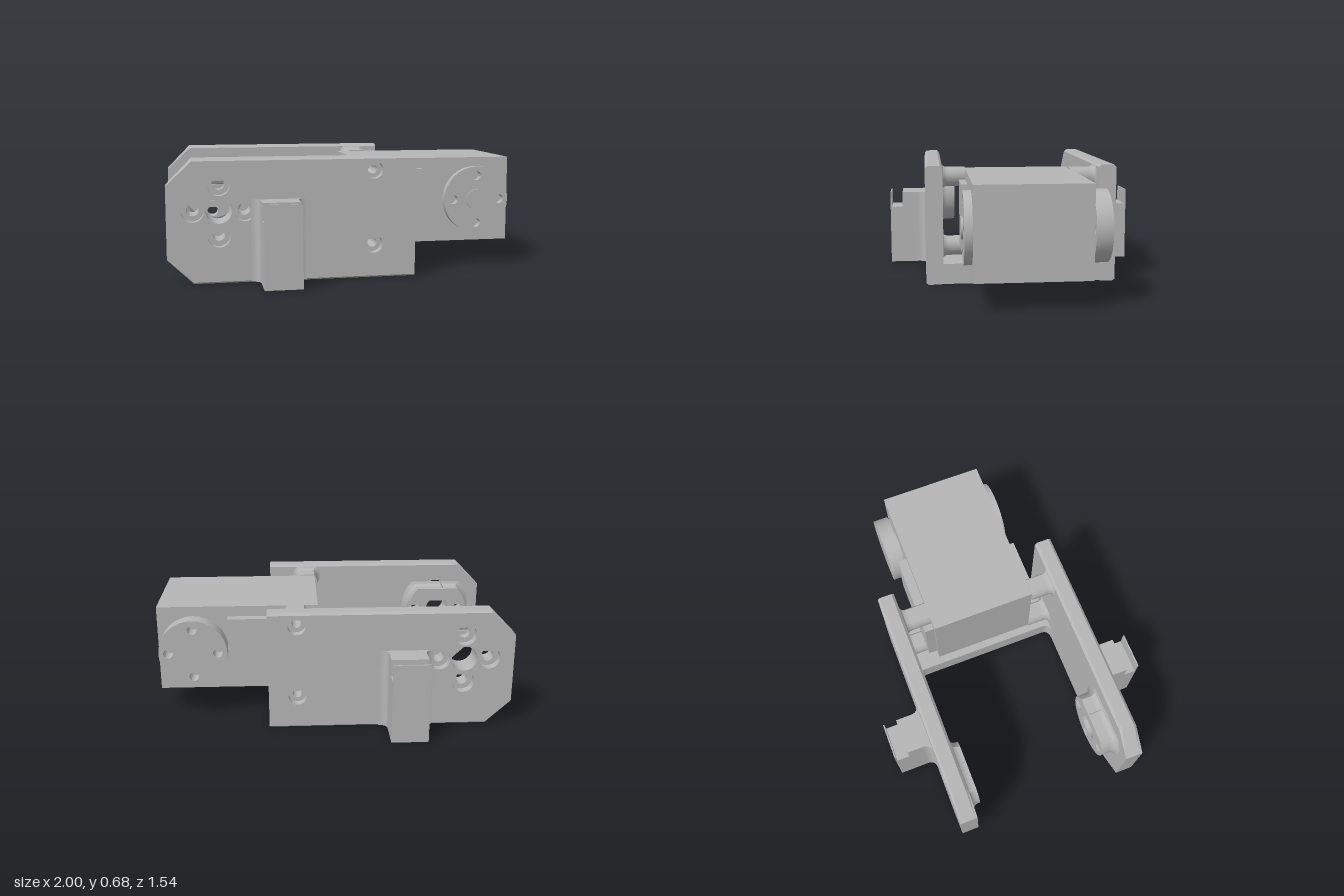
import * as THREE from 'three';
import { toCreasedNormals } from 'three/addons/utils/BufferGeometryUtils.js';

const grey = new THREE.MeshStandardMaterial({ color: 0xb6b6b6 });
grey.name = 'plain grey';

const BOSS = [-0.72, 0.4]; // pivot centre on the arms
const BOLTS = [[0.14, 0], [-0.14, 0], [0, 0.14], [0, -0.14]];

function add(parent, name, geometry) {
  const mesh = new THREE.Mesh(geometry, grey);
  mesh.name = name;
  parent.add(mesh);
  return mesh;
}

function box(parent, name, x0, x1, y0, y1, z0, z1) {
  const g = new THREE.BoxGeometry(x1 - x0, y1 - y0, Math.abs(z1 - z0));
  add(parent, name, g).position.set((x0 + x1) / 2, (y0 + y1) / 2, (z0 + z1) / 2);
}

// Round outline with a pointed 45 degree roof
function teardrop(x, y, r) {
  const s = new THREE.Shape();
  s.moveTo(x, y + r * Math.SQRT2);
  s.absarc(x, y, r, Math.PI * 0.75, Math.PI * 2.25, false);
  return s;
}

function circle(x, y, r) {
  return new THREE.Shape().absarc(x, y, r, 0, Math.PI * 2, false);
}

// Shape in the xy plane, extruded between two z values; rule may move each vertex
function layer(parent, name, shape, za, zb, rule, steps = 1) {
  const g = new THREE.ExtrudeGeometry(shape, { depth: Math.abs(zb - za), bevelEnabled: false, curveSegments: 16, steps });
  g.translate(0, 0, Math.min(za, zb));
  if (rule) {
    const p = g.attributes.position, v = new THREE.Vector3();
    for (let i = 0; i < p.count; i++) {
      rule(v.fromBufferAttribute(p, i));
      p.setXYZ(i, v.x, v.y, v.z);
    }
  }
  add(parent, name, toCreasedNormals(g, 0.5));
}

// Shape in the xz plane, extruded between two y values
function slab(parent, name, shape, y0, y1) {
  const g = new THREE.ExtrudeGeometry(shape, { depth: y1 - y0, bevelEnabled: false, curveSegments: 8 });
  g.rotateX(Math.PI / 2).translate(0, y1, 0);
  add(parent, name, toCreasedNormals(g, 0.5));
}

function armOutline() {
  return new THREE.Shape([[-0.86, 0], [0.37, 0], [0.37, 0.68], [-0.86, 0.68], [-1, 0.535], [-1, 0.14]]
    .map(([x, y]) => new THREE.Vector2(x, y)));
}

// Flared teardrop collar that blends a boss into the arm
function collar(parent, name, x, y, r, flare, zArm, zEnd) {
  const ring = teardrop(x, y, r);
  ring.holes.push(teardrop(x, y, r * 0.96));
  layer(parent, name, ring, zArm, zEnd, (v) => {
    const t = Math.abs((v.z - zEnd) / (zArm - zEnd));
    const k = 1 + (flare / r) * (1 - Math.sqrt(Math.max(0, 1 - t * t)));
    v.x = x + (v.x - x) * k;
    v.y = y + (v.y - y) * k;
  }, 5);
}

// One arm with pivot boss, standoffs and hooked post
function createArm(name, s, inner, outer, bossEnd, standX, standEnd, postEnd) {
  const arm = new THREE.Group();
  arm.name = name;
  const zi = s * inner, zo = s * outer;
  const [cx, cy] = BOSS;
  const stands = [[standX, 0.605], [standX, 0.19]];

  // Inner half has bolt holes, outer half has wider counterbores
  const through = armOutline();
  through.holes.push(teardrop(cx, cy, 0.072));
  for (const [x, y] of BOLTS) through.holes.push(teardrop(cx + x, cy + y, 0.034));
  for (const [x, y] of stands) through.holes.push(teardrop(x, y, 0.026));
  const bored = armOutline();
  bored.holes.push(circle(cx, cy, 0.072));
  for (const [x, y] of BOLTS) bored.holes.push(teardrop(cx + x, cy + y, 0.062));
  for (const [x, y] of stands) bored.holes.push(teardrop(x, y, 0.05));

  // Softened long edges on both faces
  const soften = (z) => (v) => {
    if (Math.abs(v.z - z) > 0.001) return;
    if (v.y > 0.679) v.y -= 0.014;
    if (v.y < 0.001) v.y += 0.01;
  };
  const mid = (zi + zo) / 2, e = s * 0.014;
  layer(arm, 'armInnerFace', through, zi, zi + e, soften(zi));
  layer(arm, 'armInnerPlate', through, zi + e, mid);
  layer(arm, 'armOuterPlate', bored, mid, zo - e);
  layer(arm, 'armOuterFace', bored, zo - e, zo, soften(zo));

  // Pivot boss
  const boss = teardrop(cx, cy, 0.185);
  boss.holes.push(teardrop(cx, cy, 0.072));
  for (const [x, y] of BOLTS) boss.holes.push(teardrop(cx + x, cy + y, 0.034));
  layer(arm, 'pivotBoss', boss, zi, s * bossEnd);
  collar(arm, 'pivotBossCollar', cx, cy, 0.185, 0.035, zi, zi - s * 0.04);

  // Standoffs that hold the motor
  for (const [x, y] of stands) {
    const stand = teardrop(x, y, 0.064);
    stand.holes.push(teardrop(x, y, 0.026));
    layer(arm, 'standoff', stand, zi, s * standEnd);
    collar(arm, 'standoffCollar', x, y, 0.064, 0.022, zi, zi - s * 0.035);
  }

  // Outer post with filleted root, notch and thin lip
  const r = 0.05, x0 = -0.5, x1 = -0.295;
  const post = (end) => {
    const p = new THREE.Shape();
    p.moveTo(x0 - r, zo - s * 0.01);
    p.lineTo(x0 - r, zo);
    p.quadraticCurveTo(x0, zo, x0, zo + s * r);
    p.lineTo(x0, s * end);
    p.lineTo(x1, s * end);
    p.lineTo(x1, zo + s * r);
    p.quadraticCurveTo(x1, zo, x1 + r, zo);
    p.lineTo(x1 + r, zo - s * 0.01);
    return p;
  };
  slab(arm, 'post', post(postEnd), 0.003, 0.36);
  slab(arm, 'postTop', post(0.69), 0.36, 0.455);
  box(arm, 'postLip', x0, x1, 0.36, 0.455, s * (postEnd - 0.008), s * postEnd);
  return arm;
}

// Round horn with four screw holes
function horn(parent, name, za, zb) {
  const disc = circle(0.795, 0.4, 0.194);
  for (const [x, y] of BOLTS) disc.holes.push(circle(0.795 + x, 0.4 + y, 0.027));
  layer(parent, name, disc, za, zb);
}

function axle(parent, name, r, z0, z1) {
  const g = new THREE.CylinderGeometry(r, r, z1 - z0, 32).rotateX(Math.PI / 2);
  add(parent, name, g).position.set(0.795, 0.4, (z0 + z1) / 2);
}

export function createModel() {
  const model = new THREE.Group();
  model.name = 'motorBracket';

  // Bracket arms
  model.add(createArm('frontArm', 1, 0.445, 0.545, 0.35, 0.133, 0.31, 0.767));
  model.add(createArm('backArm', -1, 0.45, 0.55, 0.4, 0.21, 0.3, 0.77));

  // Floor web between the arms, rounded into them
  const web = new THREE.Shape();
  web.moveTo(0.37, -0.46);
  web.lineTo(0, -0.46);
  web.lineTo(0, -0.45);
  web.quadraticCurveTo(0.05, -0.45, 0.05, -0.4);
  web.lineTo(0.05, 0.395);
  web.quadraticCurveTo(0.05, 0.445, 0, 0.445);
  web.lineTo(0, 0.455);
  web.lineTo(0.37, 0.455);
  slab(model, 'floorWeb', web, 0.003, 0.12);

  // Motor body and side covers
  const motor = new THREE.Group();
  motor.name = 'motor';
  model.add(motor);
  box(motor, 'motorBody', 0.085, 1, 0.15, 0.645, -0.3, 0.31);
  box(motor, 'frontCover', 0.2, 0.465, 0.21, 0.585, 0.305, 0.347);
  box(motor, 'backCover', 0.11, 0.6, 0.21, 0.585, -0.355, -0.295);

  // Output horns
  horn(motor, 'frontHorn', 0.308, 0.353);
  axle(motor, 'frontHub', 0.06, 0.31, 0.363);
  horn(motor, 'backHorn', -0.4, -0.312);
  axle(motor, 'backAxle', 0.1, -0.32, -0.295);
  return model;
}
